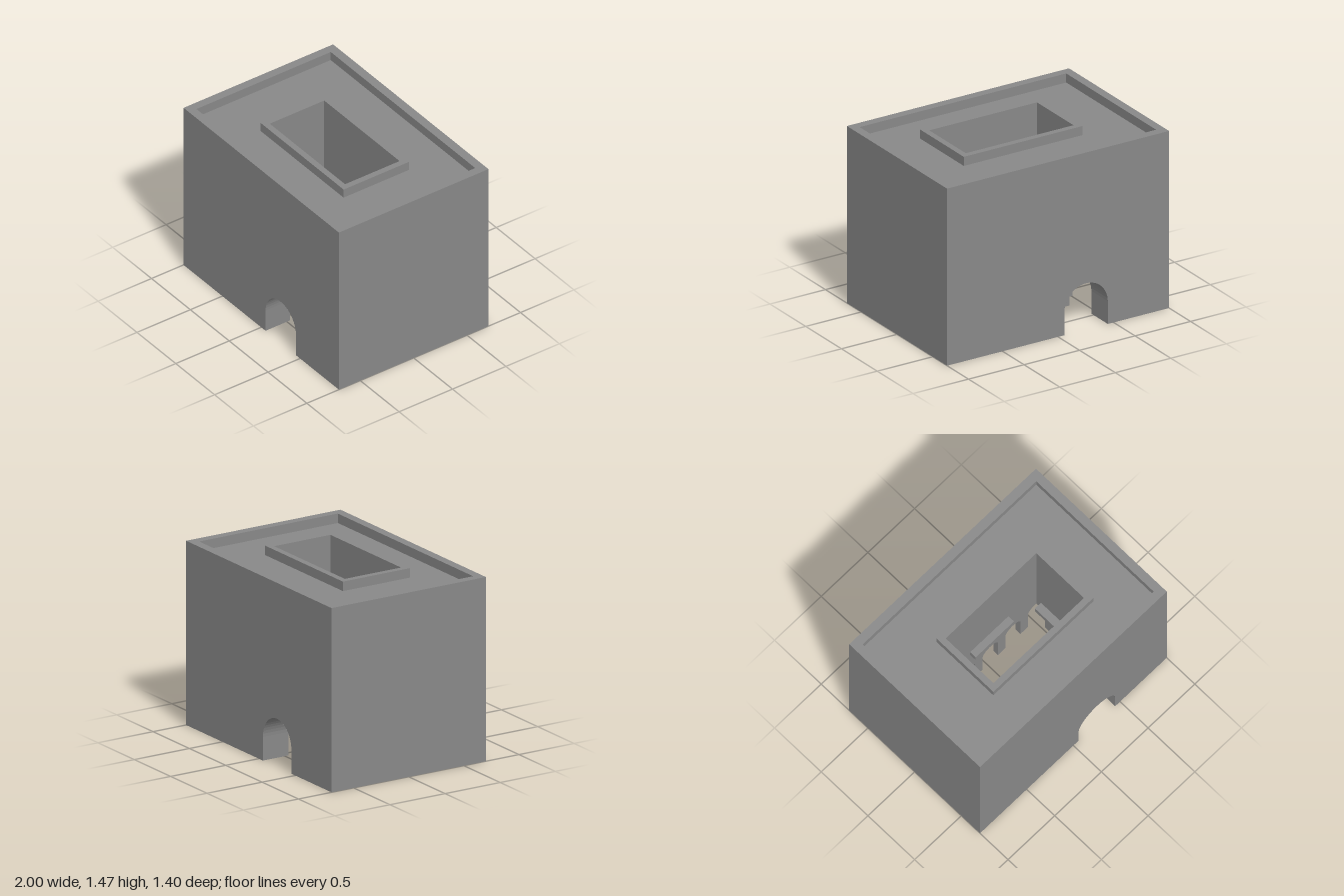
import * as THREE from 'three';

const mat = new THREE.MeshStandardMaterial({ color: 0x888888, side: THREE.DoubleSide, flatShading: true });

const W = 1, D = 0.7;            // half size of the outer shell
const RX = 0.775, RZ = 0.47;     // half size of the ground floor room
const ROOF = 1.39, TOP = 1.465, CEIL = 0.45;
const WELL = { x0: -0.5, x1: 0.57, z0: -0.267, z1: 0.343, t: 0.05 };
const GATE = { r: 0.196, spring: 0.188 };

function add(group, name, geometry, x = 0, y = 0, z = 0) {
  const mesh = new THREE.Mesh(geometry, mat);
  mesh.name = name;
  mesh.position.set(x, y, z);
  group.add(mesh);
  return mesh;
}

function rect(Kind, x0, y0, x1, y1) {
  const s = new Kind();
  s.moveTo(x0, y0).lineTo(x1, y0).lineTo(x1, y1).lineTo(x0, y1).closePath();
  return s;
}

// Horizontal ring lying in plan; shape y becomes -z
function ring(outer, inner) {
  const s = rect(THREE.Shape, outer[0], -outer[3], outer[2], -outer[1]);
  s.holes.push(rect(THREE.Path, inner[0], -inner[3], inner[2], -inner[1]));
  return s;
}
const flatRing = (o, i) => new THREE.ShapeGeometry(ring(o, i)).rotateX(-Math.PI / 2);
const tallRing = (o, i, h) =>
  new THREE.ExtrudeGeometry(ring(o, i), { depth: h, bevelEnabled: false }).rotateX(-Math.PI / 2);

// Wall panel with an arched gateway cut up from its foot
function gateWall(halfWidth, height, cx) {
  const s = new THREE.Shape();
  s.moveTo(-halfWidth, 0).lineTo(cx - GATE.r, 0).lineTo(cx - GATE.r, GATE.spring);
  s.absarc(cx, GATE.spring, GATE.r, Math.PI, 0, true);
  s.lineTo(cx + GATE.r, 0).lineTo(halfWidth, 0).lineTo(halfWidth, height).lineTo(-halfWidth, height).closePath();
  return new THREE.ShapeGeometry(s, 24);
}

// Lining of a gateway passage: straight jambs and a half-round vault
function passage(cx, z0, z1) {
  const outline = [[cx + GATE.r, 0]];
  for (let i = 0; i <= 24; i++) {
    const a = (Math.PI * i) / 24;
    outline.push([cx + GATE.r * Math.cos(a), GATE.spring + GATE.r * Math.sin(a)]);
  }
  outline.push([cx - GATE.r, 0]);
  const pos = [], index = [];
  outline.forEach(([x, y], i) => {
    pos.push(x, y, z0, x, y, z1);
    if (i) {
      const b = 2 * i;
      index.push(b - 2, b - 1, b, b - 1, b + 1, b);
    }
  });
  const g = new THREE.BufferGeometry();
  g.setAttribute('position', new THREE.Float32BufferAttribute(pos, 3));
  g.setIndex(index);
  g.computeVertexNormals();
  return g;
}

// Arcade wall on evenly spaced piers, with half arches running into both corners
function arcade(from, to, piers) {
  const foot = 0.008, spring = 0.27, r = 0.0825, half = 0.04;
  const s = new THREE.Shape();
  s.moveTo(from, CEIL).lineTo(from, spring + r);
  s.lineTo(piers[0] - half - r, spring + r);
  s.absarc(piers[0] - half - r, spring, r, Math.PI / 2, 0, true);
  piers.forEach((p, i) => {
    s.lineTo(p - half, foot).lineTo(p + half, foot).lineTo(p + half, spring);
    const next = piers[i + 1];
    if (next !== undefined) {
      const c = (p + next) / 2;
      s.absarc(c, spring, c - p - half, Math.PI, 0, true);
    } else {
      s.absarc(p + half + r, spring, r, Math.PI, Math.PI / 2, true);
    }
  });
  s.lineTo(to, spring + r).lineTo(to, CEIL).closePath();
  return new THREE.ExtrudeGeometry(s, { depth: WELL.t, bevelEnabled: false, curveSegments: 10 });
}

export function createModel() {
  const model = new THREE.Group();
  model.name = 'courtyardHouse';

  // Outer shell, inner room walls and the gate passages; the two gates are offset to opposite sides
  const gates = [['front', 1, 0.252], ['back', -1, -0.252]];
  for (const [side, s, cx] of gates) {
    add(model, side + 'Wall', gateWall(W, ROOF, cx), 0, 0, s * D);
    add(model, side + 'RoomWall', gateWall(RX, CEIL, cx), 0, 0, s * RZ);
    add(model, side + 'GatePassage', passage(cx, s * RZ, s * D));
  }
  for (const [side, s] of [['left', 1], ['right', -1]]) {
    add(model, side + 'Wall', new THREE.PlaneGeometry(2 * D, ROOF).rotateY(s * Math.PI / 2), s * W, ROOF / 2, 0);
    add(model, side + 'RoomWall', new THREE.PlaneGeometry(2 * RZ, CEIL).rotateY(-s * Math.PI / 2), s * RX, CEIL / 2, 0);
  }

  // Blind door, almost flush with the right-hand room wall
  add(model, 'sideDoor', new THREE.BoxGeometry(0.008, 0.34, 0.24), -RX, 0.17, 0.015);

  // Roof deck, ceiling, parapet and the walls of the light well
  const { x0, x1, z0, z1, t } = WELL;
  const wellOuter = [x0, z0, x1, z1];
  const wellInner = [x0 + t, z0 + t, x1 - t, z1 - t];
  add(model, 'roofDeck', flatRing([-W, -D, W, D], wellOuter), 0, ROOF, 0);
  add(model, 'roomCeiling', flatRing([-RX, -RZ, RX, RZ], wellOuter), 0, CEIL, 0);
  add(model, 'parapet', tallRing([-W, -D, W, D], [-W + 0.07, -D + 0.073, W - 0.07, D - 0.07], TOP - ROOF), 0, ROOF, 0);
  add(model, 'lightWell', tallRing(wellOuter, wellInner, TOP - CEIL), 0, CEIL, 0);

  // Arcades around the courtyard
  const longPiers = [-0.34, -0.095, 0.15, 0.39];
  add(model, 'frontArcade', arcade(x0, x1, longPiers), 0, 0, z1 - t);
  add(model, 'backArcade', arcade(x0, x1, longPiers), 0, 0, z0);
  const sidePiers = [-0.16, 0.085]; // along -z after the quarter turn
  for (const [name, x] of [['leftArcade', x1 - t], ['rightArcade', x0]]) {
    add(model, name, arcade(-z1 + t, -z0 - t, sidePiers).rotateY(Math.PI / 2), x, 0, 0);
  }

  // Four ledges inside the light well
  for (const z of [-0.19, 0.213]) add(model, 'longLedge', new THREE.BoxGeometry(0.41, 0.06, 0.065), 0.017, 0.62, z);
  for (const x of [-0.375, 0.44]) add(model, 'shortLedge', new THREE.BoxGeometry(0.065, 0.06, 0.32), x, 0.62, 0.04);

  return model;
}
